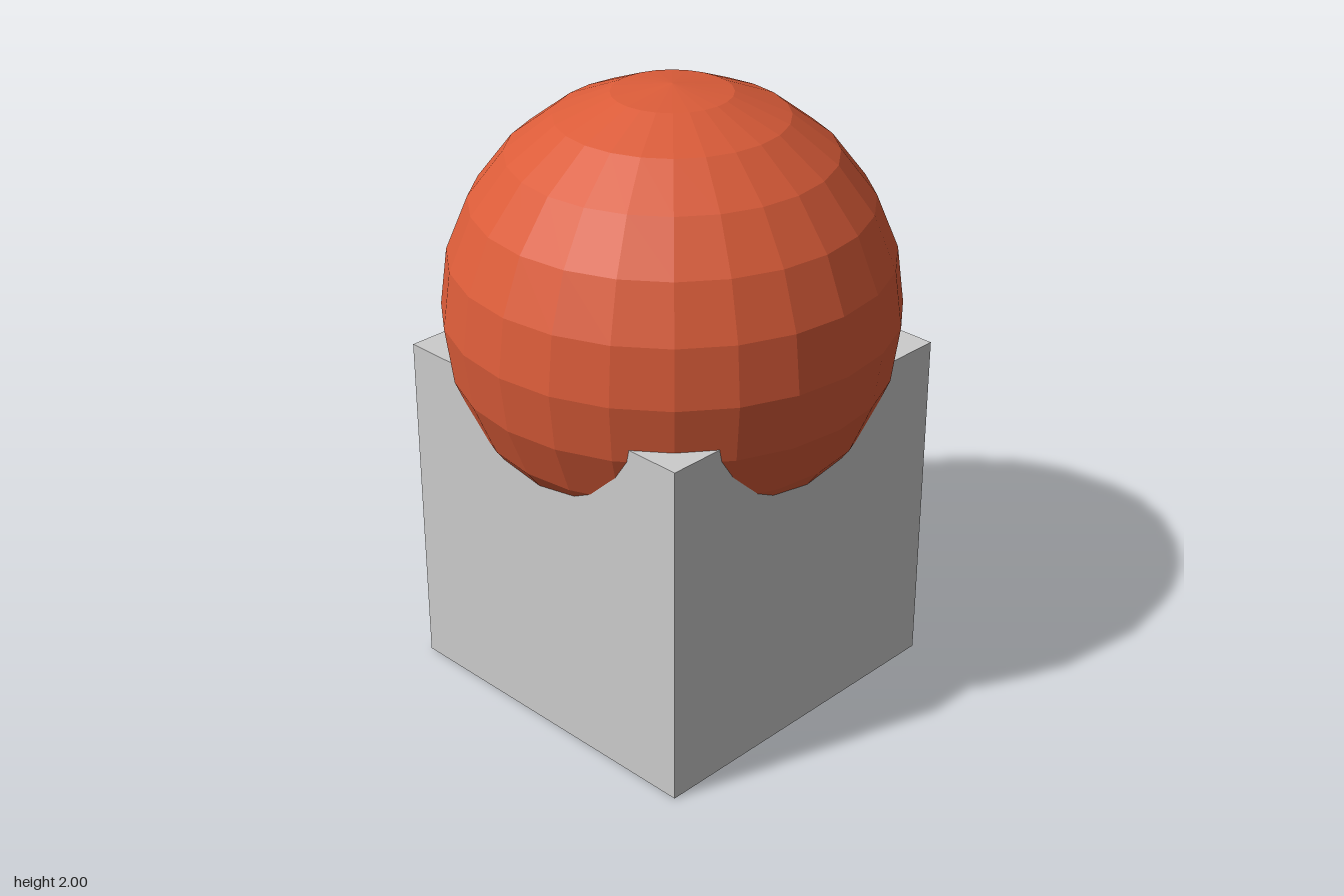
import * as THREE from 'three';

export function createModel() {
  const group = new THREE.Group();
  group.name = 'ballOnBlock';

  const grey = new THREE.MeshStandardMaterial({ color: 0xcccccc, flatShading: true });
  grey.name = 'light grey';
  const red = new THREE.MeshStandardMaterial({ color: 0xdb5c39, flatShading: true });
  red.name = 'orange red';

  // Cube standing on the ground
  const side = 8 / 7;
  const block = new THREE.Mesh(new THREE.BoxGeometry(side, side, side), grey);
  block.name = 'block';
  block.position.y = side / 2;

  // Faceted ball sunk into the top of the block
  const radius = 5 / 7;
  const ball = new THREE.Mesh(new THREE.SphereGeometry(radius, 24, 12), red);
  ball.name = 'ball';
  ball.position.y = 2 - radius;

  group.add(block, ball);
  return group;
}
